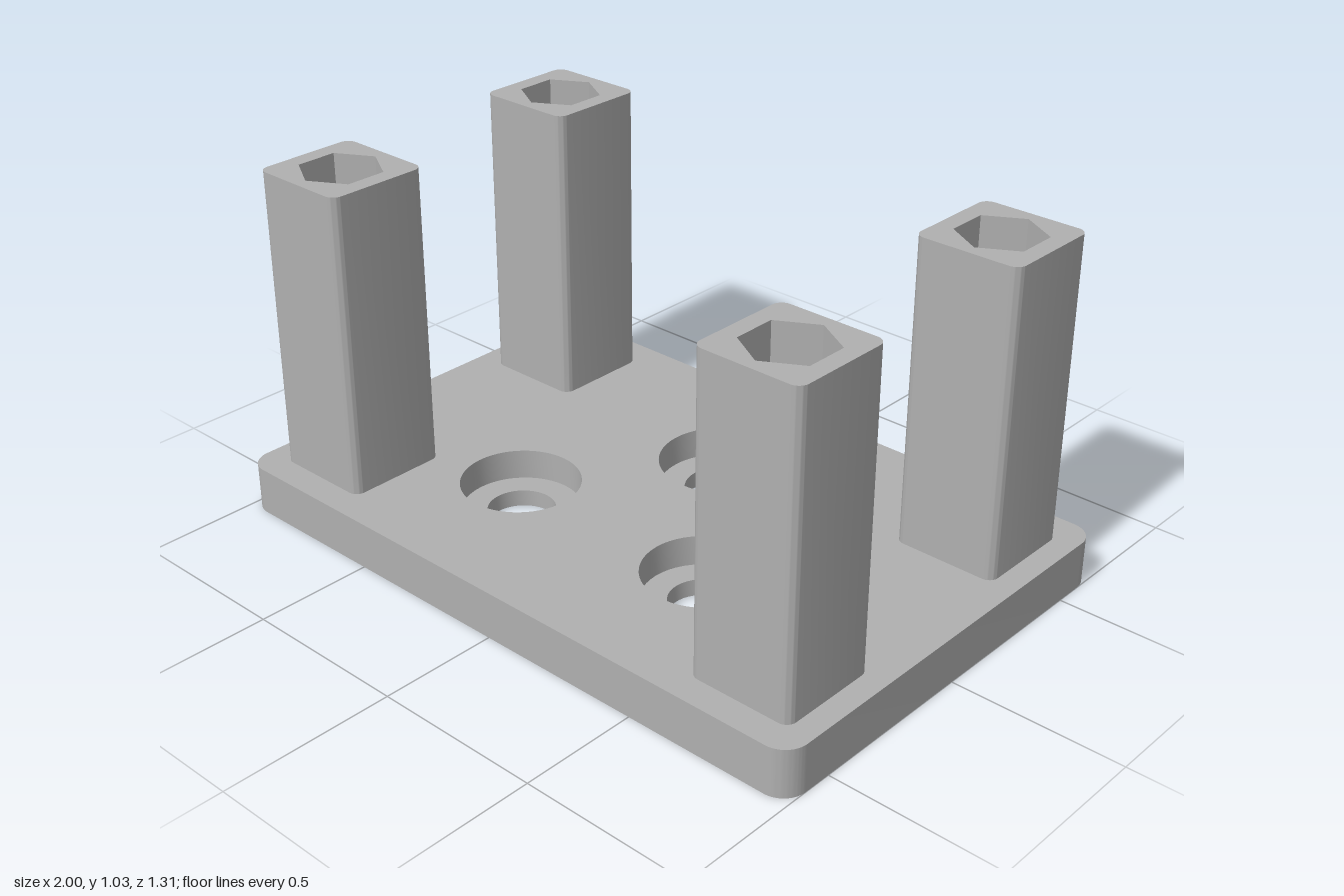
import * as THREE from 'three';
import { mergeGeometries, toCreasedNormals } from 'three/addons/utils/BufferGeometryUtils.js';

const SEG = 48;
const PLATE_TOP = 0.14, LEDGE = 0.05;
const POST_TOP = 1.03, SOCKET_FLOOR = 0.73;
const HEX_R = 0.12, BORE_R = 0.064;

// Counterbored holes: position, through radius, counterbore radius
const HOLES = [
  { x: 0, z: -0.28, r: 0.115, cb: 0.19 },
  { x: -0.345, z: 0.2, r: 0.098, cb: 0.172 },
  { x: 0.345, z: 0.2, r: 0.098, cb: 0.172 },
];

function roundedRect(w, d, r) {
  const x = w / 2, y = d / 2, q = Math.PI / 2;
  const s = new THREE.Shape();
  s.absarc(x - r, y - r, r, 0, q);
  s.absarc(-x + r, y - r, r, q, 2 * q);
  s.absarc(-x + r, -y + r, r, 2 * q, 3 * q);
  s.absarc(x - r, -y + r, r, 3 * q, 4 * q);
  s.closePath();
  return s;
}

function circle(x, y, r) {
  const p = new THREE.Path();
  p.absarc(x, y, r, 0, Math.PI * 2);
  return p;
}

function hexPoints() {
  return Array.from({ length: 6 }, (_, i) => {
    const a = (i * Math.PI) / 3;
    return new THREE.Vector2(Math.sin(a) * HEX_R, Math.cos(a) * HEX_R);
  });
}

// Flat face at height y, facing up or down
function cap(shape, y, up = true) {
  return new THREE.ShapeGeometry(shape, SEG)
    .rotateX(up ? -Math.PI / 2 : Math.PI / 2).translate(0, y, 0).toNonIndexed();
}

// Side walls only of an upright prism
function walls(shape, y0, y1) {
  const g = new THREE.ExtrudeGeometry(shape, { depth: y1 - y0, bevelEnabled: false, curveSegments: 12 });
  const { start, count } = g.groups[1];
  const out = new THREE.BufferGeometry();
  for (const name of ['position', 'normal', 'uv']) {
    const a = g.attributes[name], n = a.itemSize;
    out.setAttribute(name, new THREE.BufferAttribute(a.array.slice(start * n, (start + count) * n), n));
  }
  return out.rotateX(-Math.PI / 2).translate(0, y0, 0);
}

// Inward-facing revolved hole, profile listed from the top down
function cavity(profile, sides = SEG) {
  return new THREE.LatheGeometry(profile.map(([r, y]) => new THREE.Vector2(r, y)), sides).toNonIndexed();
}

function join(parts) {
  return toCreasedNormals(mergeGeometries(parts), 0.6);
}

function plateGeometry() {
  const outline = roundedRect(2, 1.31, 0.07);
  const top = roundedRect(2, 1.31, 0.07), bottom = roundedRect(2, 1.31, 0.07);
  const parts = [walls(outline, 0, PLATE_TOP)];
  for (const { x, z, r, cb } of HOLES) {
    top.holes.push(circle(x, -z, cb));
    bottom.holes.push(circle(x, z, r));
    parts.push(cavity([[cb, PLATE_TOP], [cb, LEDGE], [r, LEDGE], [r, 0]]).translate(x, 0, z));
  }
  parts.push(cap(top, PLATE_TOP), cap(bottom, 0, false));
  return join(parts);
}

function postGeometry() {
  const outline = roundedRect(0.31, 0.31, 0.03);
  // Rim around the hexagonal socket
  const rim = roundedRect(0.31, 0.31, 0.03);
  rim.holes.push(new THREE.Path(hexPoints()));
  // Socket floor with a round bore
  const floor = new THREE.Shape(hexPoints());
  floor.holes.push(circle(0, 0, BORE_R));
  return join([
    walls(outline, PLATE_TOP, POST_TOP),
    cap(rim, POST_TOP),
    cavity([[HEX_R, POST_TOP], [HEX_R, SOCKET_FLOOR]], 6),
    cap(floor, SOCKET_FLOOR),
    cavity([[BORE_R, SOCKET_FLOOR], [BORE_R, PLATE_TOP]]),
  ]);
}

export function createModel() {
  const model = new THREE.Group();
  model.name = 'mountingPlate';
  const grey = new THREE.MeshStandardMaterial({ color: 0xb0b0b0 });
  grey.name = 'grey';

  const plate = new THREE.Mesh(plateGeometry(), grey);
  plate.name = 'basePlate';
  model.add(plate);

  // Four corner posts
  const geometry = postGeometry();
  for (const sx of [-1, 1]) {
    for (const sz of [-1, 1]) {
      const post = new THREE.Mesh(geometry, grey);
      post.name = (sz > 0 ? 'front' : 'back') + (sx > 0 ? 'Left' : 'Right') + 'Post';
      post.position.set(sx * 0.775, 0, sz * 0.415);
      model.add(post);
    }
  }
  return model;
}
